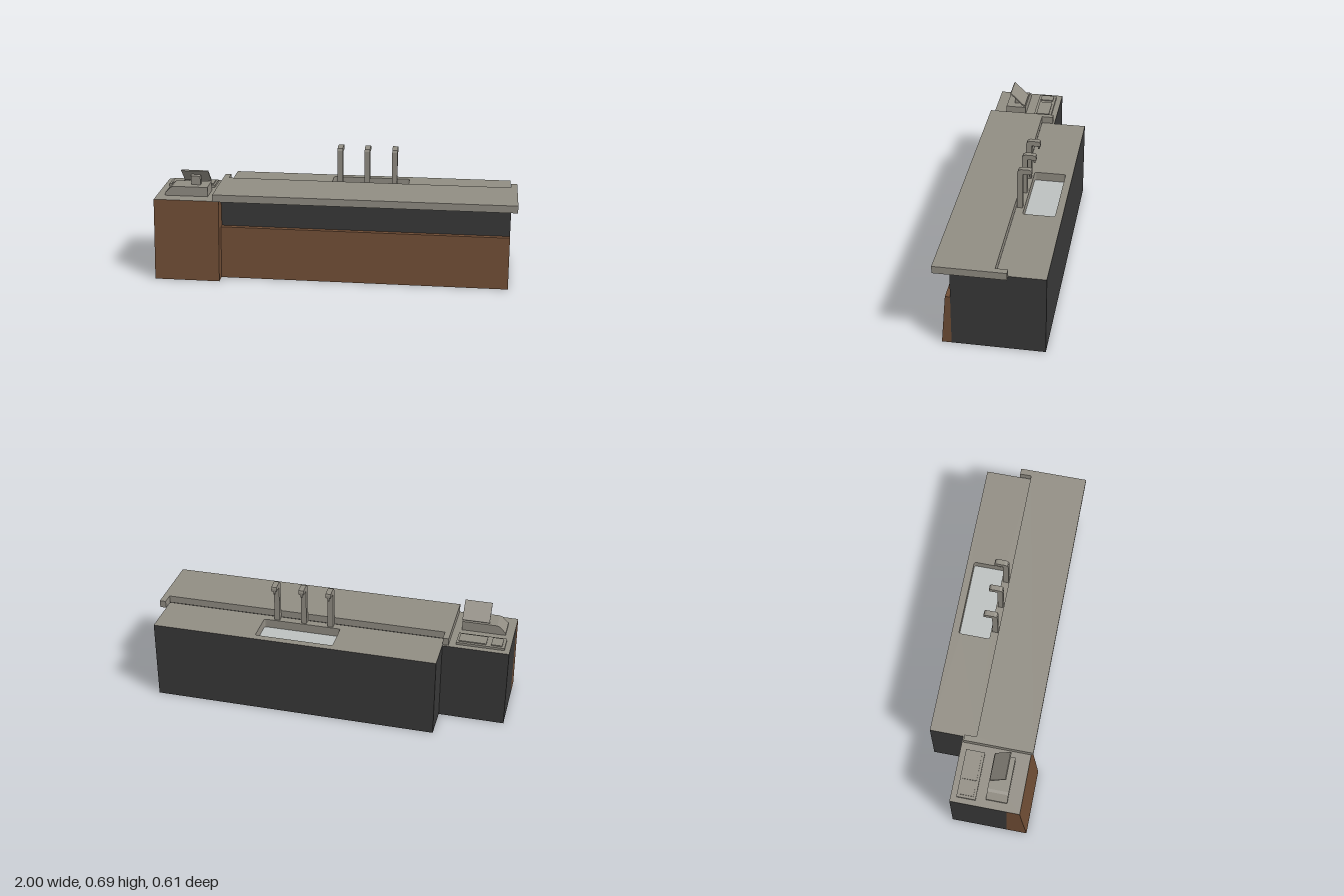
import * as THREE from 'three';

const mat = (name, color) =>
  new THREE.MeshStandardMaterial({ name, color, side: THREE.DoubleSide });

export function createModel() {
  const model = new THREE.Group();
  model.name = 'barCounter';
  const dark = mat('charcoalPanel', 0x383838);
  const wood = mat('brownWood', 0x6f4d35);
  const grey = mat('greyTop', 0x918d83);
  const steel = mat('sinkSteel', 0xbcc0bf);

  const add = (name, geometry, material, parent = model) => {
    const mesh = new THREE.Mesh(geometry, material);
    mesh.name = name;
    parent.add(mesh);
    return mesh;
  };
  // Box given by its limits on each axis
  const box = (name, m, [x0, x1], [y0, y1], [z0, z1], parent) => add(name,
    new THREE.BoxGeometry(x1 - x0, y1 - y0, z1 - z0)
      .translate((x0 + x1) / 2, (y0 + y1) / 2, (z0 + z1) / 2), m, parent);
  // Four-cornered sheet, corners counter-clockwise from outside
  const quad = (name, m, a, b, c, d) => {
    const g = new THREE.BufferGeometry();
    g.setAttribute('position', new THREE.Float32BufferAttribute([a, b, c, a, c, d].flat(), 3));
    g.computeVertexNormals();
    return add(name, g, m);
  };
  const outline = (pts) => new THREE.Shape(pts.map(([x, y]) => new THREE.Vector2(x, y)));
  // Flat sheet in the zy plane
  const sideSheet = (name, m, x, pts) => add(name,
    new THREE.ShapeGeometry(outline(pts)).rotateY(-Math.PI / 2).translate(x, 0, 0), m);
  // Solid with a zy profile between x0 and x1
  const sideSolid = (name, m, x0, x1, pts, parent) => add(name,
    new THREE.ExtrudeGeometry(outline(pts), { depth: x1 - x0, bevelEnabled: false })
      .rotateY(-Math.PI / 2).translate(x1, 0, 0), m, parent);

  const L = -0.635, R = 0.965, E = -1, H = 0.455, F = 0.19, B = -0.305, RB = -0.12, S = 0.292;

  // Main cabinet shell, open underneath
  quad('cabinetBack', dark, [R, 0, B], [L, 0, B], [L, H, B], [R, H, B]);
  quad('cabinetLeftSide', dark, [R, 0, F], [R, 0, B], [R, H, B], [R, H, F]);
  quad('cabinetRightSide', dark, [L, 0, B], [L, 0, F], [L, H, F], [L, H, B]);
  quad('cabinetUpperFront', dark, [L, S, F], [R, S, F], [R, H, F], [L, H, F]);

  // Sloping wooden kick panel with ledge
  quad('kickPanel', wood, [L, 0, 0.241], [R, 0, 0.241], [R, S, 0.217], [L, S, 0.217]);
  quad('kickLedge', wood, [L, S, 0.217], [R, S, 0.217], [R, S, F], [L, S, F]);
  sideSheet('kickPanelEnd', wood, R, [[F, 0], [0.241, 0], [0.217, S], [F, S]]);

  // Register cabinet shell
  quad('registerBack', dark, [L, 0, RB], [E, 0, RB], [E, H, RB], [L, H, RB]);
  quad('registerSide', dark, [E, 0, RB], [E, 0, F], [E, H, F], [E, H, RB]);
  quad('registerLowerFront', wood, [E, 0, 0.305], [L, 0, 0.305], [L, S, 0.276], [E, S, 0.276]);
  quad('registerUpperFront', wood, [E, S, 0.276], [L, S, 0.276], [L, H, 0.262], [E, H, 0.262]);
  for (const x of [E, L]) {
    sideSheet('registerCheek', wood, x, [[F, 0], [0.305, 0], [0.276, S], [0.262, H], [F, H]]);
  }
  quad('registerTop', grey, [E, H, 0.262], [L, H, 0.262], [L, H, RB], [E, H, RB]);

  // Work top with a cut-out for the sink
  const sinkOutline = (Type) => {
    const x0 = -0.055, x1 = 0.385, y0 = 0.09, y1 = 0.265, r = 0.012;
    const s = new Type();
    s.moveTo(x0 + r, y0);
    s.lineTo(x1 - r, y0);
    s.quadraticCurveTo(x1, y0, x1, y0 + r);
    s.lineTo(x1, y1 - r);
    s.quadraticCurveTo(x1, y1, x1 - r, y1);
    s.lineTo(x0 + r, y1);
    s.quadraticCurveTo(x0, y1, x0, y1 - r);
    s.lineTo(x0, y0 + r);
    s.quadraticCurveTo(x0, y0, x0 + r, y0);
    return s;
  };
  const top = outline([[L, 0.045], [R, 0.045], [R, -B], [L, -B]]);
  top.holes.push(sinkOutline(THREE.Path));
  add('workTop', new THREE.ShapeGeometry(top, 4).rotateX(-Math.PI / 2).translate(0, H, 0), grey);

  // Sink basin: floor and walls
  const depth = 0.05;
  add('sinkFloor', new THREE.ShapeGeometry(sinkOutline(THREE.Shape), 4)
    .rotateX(-Math.PI / 2).translate(0, H - depth, 0), steel);
  const rim = sinkOutline(THREE.Path).getPoints(4);
  for (let i = 0; i < rim.length - 1; i++) {
    const a = rim[i], b = rim[i + 1];
    if (a.distanceTo(b) < 1e-5) continue;
    quad('sinkWall', grey, [b.x, H - depth, -b.y], [a.x, H - depth, -a.y],
      [a.x, H, -a.y], [b.x, H, -b.y]);
  }

  // Raised bar top, with a lip wrapping each end
  const bar = outline([[-0.667, -0.273], [1, -0.273], [1, 0.11], [R, 0.11], [R, 0.045],
    [L, 0.045], [L, 0.11], [-0.667, 0.11]]);
  add('barTop', new THREE.ExtrudeGeometry(bar, { depth: 0.041, bevelEnabled: false })
    .rotateX(-Math.PI / 2).translate(0, H + 0.001, 0), grey);

  // Three taps
  [0.004, 0.157, 0.312].forEach((x) => {
    const tap = new THREE.Group();
    tap.name = 'tap';
    model.add(tap);
    sideSolid('tapNeck', grey, x - 0.015, x + 0.015, [[-0.051, H], [-0.051, 0.675],
      [-0.056, 0.688], [-0.07, 0.695], [-0.115, 0.695], [-0.126, 0.69], [-0.13, 0.68],
      [-0.13, 0.666], [-0.081, 0.666], [-0.081, H]], tap);
    add('tapSpout', new THREE.CylinderGeometry(0.007, 0.005, 0.023, 8)
      .translate(x, 0.655, -0.119), grey, tap);
  });

  // Register stand: base, post and tilted screen
  const register = new THREE.Group();
  register.name = 'register';
  model.add(register);
  const base = outline([[-0.955, H], [-0.955, 0.468], [-0.92, 0.503], [-0.905, 0.509],
    [-0.712, 0.509], [-0.712, H]]);
  add('registerBase', new THREE.ExtrudeGeometry(base, { depth: 0.115, bevelEnabled: false })
    .translate(0, 0, 0.07), grey, register);
  sideSolid('screenPost', grey, -0.812, -0.76, [[0.142, 0.509], [0.142, 0.559],
    [0.131, 0.569], [0.104, 0.543], [0.115, 0.53], [0.115, 0.509]], register);
  sideSolid('screen', grey, -0.862, -0.71, [[0.162, 0.595], [0.157, 0.6],
    [0.073, 0.519], [0.078, 0.514]], register);

  // Keypad tray with two raised pads
  const tray = new THREE.Group();
  tray.name = 'keypad';
  model.add(tray);
  box('keypadTray', grey, [-0.97, -0.705], [H, 0.468], [-0.088, 0.016], tray);
  box('smallPad', grey, [-0.955, -0.895], [0.468, 0.474], [-0.074, 0.002], tray);
  box('largePad', grey, [-0.868, -0.716], [0.468, 0.474], [-0.074, 0.002], tray);

  return model;
}
